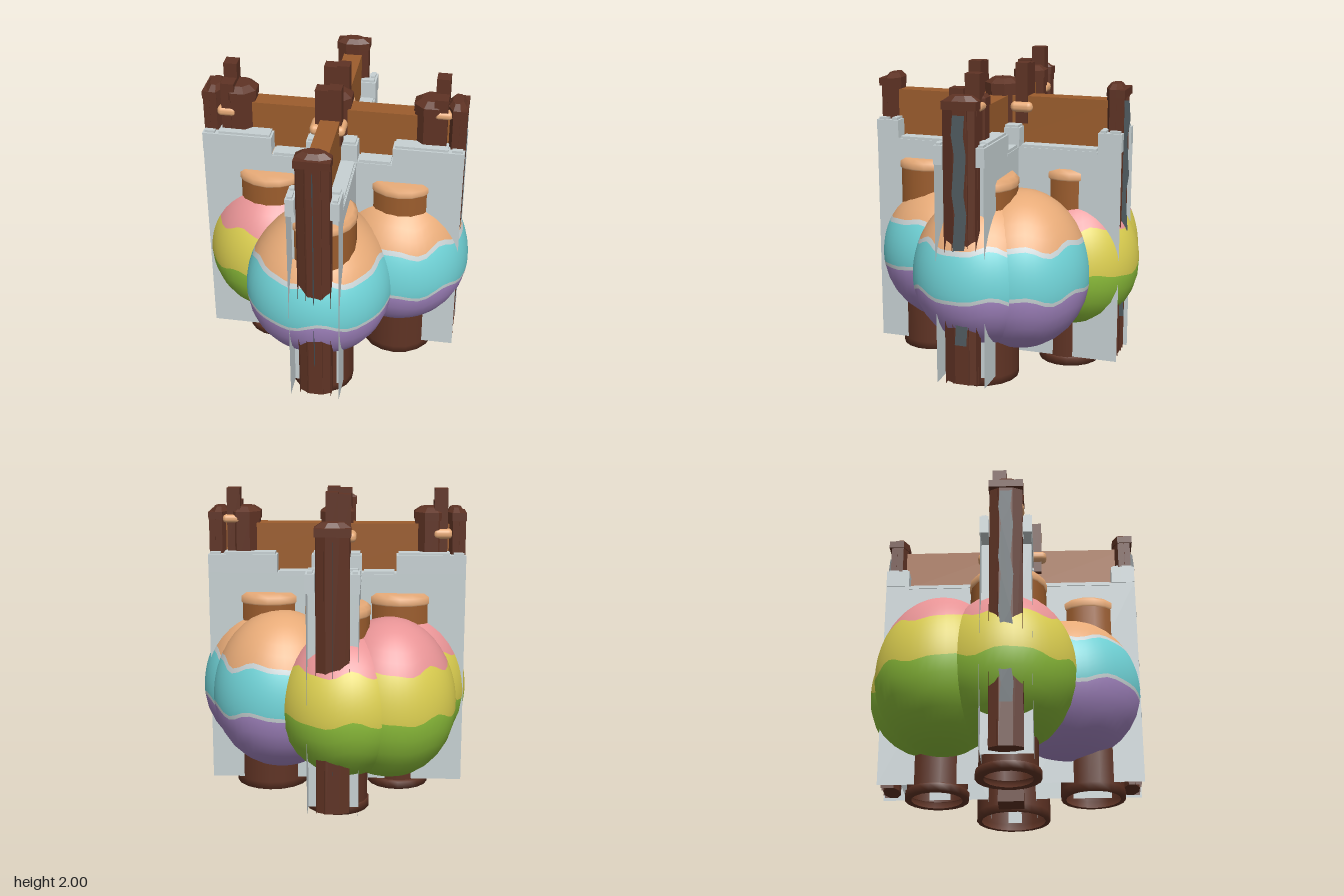
import * as THREE from 'three';
import { RoundedBoxGeometry } from 'three/addons/geometries/RoundedBoxGeometry.js';

const mat = (name, color, side = THREE.FrontSide) => {
  const m = new THREE.MeshStandardMaterial({ color, side });
  m.name = name;
  return m;
};
const grey = mat('wallGrey', 0xc7d1d3, THREE.DoubleSide);
const dark = mat('darkWood', 0x5f3324, THREE.DoubleSide);
const wood = mat('beamWood', 0x9c5d2d);
const tan = mat('tan', 0xe8ab78);
const pink = mat('pink', 0xe89496);
const yellow = mat('yellow', 0xdbce50);
const green = mat('green', 0x8cbe3a);
const cyan = mat('cyan', 0x70d3d7);
const purple = mat('purple', 0xa486c2);
const slate = mat('slate', 0x505b60, THREE.DoubleSide);

// Axis where the four arms meet
const CX = -0.02, CZ = 0.03;

function add(parent, name, geo, material, x = 0, y = 0, z = 0) {
  const m = new THREE.Mesh(geo, material);
  m.name = name;
  m.position.set(x, y, z);
  parent.add(m);
  return m;
}

// Box given by its bounds
function box(parent, name, material, x0, x1, y0, y1, z0, z1) {
  return add(parent, name, new THREE.BoxGeometry(x1 - x0, y1 - y0, z1 - z0), material,
    (x0 + x1) / 2, (y0 + y1) / 2, (z0 + z1) / 2);
}

// Flat-sided octagon prism, rt and rb are the half widths across the flats
function octagon(rt, rb, h) {
  const k = 1 / Math.cos(Math.PI / 8);
  const g = new THREE.CylinderGeometry(rt * k, rb * k, h, 8).toNonIndexed();
  g.rotateY(Math.PI / 8);
  g.computeVertexNormals();
  return g;
}

// Octagonal post with a collar and a tapered cap, squashed along z by sz
function post(parent, name, x, z, y0, r, sz) {
  const g = new THREE.Group();
  g.name = name;
  g.position.set(x, 0, z);
  g.scale.z = sz;
  add(g, 'shaft', octagon(r * 0.94, r * 0.94, 1.8 - y0), dark, 0, (1.8 + y0) / 2);
  add(g, 'collar', octagon(r, r, 0.05), dark, 0, 1.825);
  add(g, 'cap', octagon(r * 0.6, r, 0.03), dark, 0, 1.865);
  parent.add(g);
}

// Coping stone with a small bevelled lip on top
function coping(parent, x0, x1, y0, y1, z0, z1) {
  box(parent, 'coping', grey, x0, x1, y0, y1 - 0.015, z0, z1);
  box(parent, 'copingLip', grey, x0 + 0.012, x1 - 0.012, y1 - 0.015, y1, z0 + 0.012, z1 - 0.012);
}

// Rounded knob wrapped around the pegs
function knob(parent, x, y, z, w, h, d) {
  add(parent, 'knob', new RoundedBoxGeometry(w, h, d, 3, h * 0.45), tan, x, y, z);
}

// Jagged strip, lying in the x-y plane
function jaggedStrip(y0, y1, w) {
  const s = new THREE.Shape(), n = 12, left = [];
  for (let i = 0; i <= n; i++) {
    const y = y0 + (y1 - y0) * i / n, o = 0.01 * Math.sin(i * 2.1);
    left.unshift([o - w / 2, y]);
    if (i) s.lineTo(o + w / 2, y); else s.moveTo(o + w / 2, y);
  }
  left.forEach(p => s.lineTo(p[0], p[1]));
  return new THREE.ShapeGeometry(s);
}

// One arm of the cross, built along local +z
function arm(k) {
  const g = new THREE.Group();
  g.name = 'arm';
  g.position.set(CX, 0, CZ);
  g.rotation.y = k * Math.PI / 2;
  const alongX = k % 2 === 1, L = 0.82, raised = alongX ? 0.38 : 0.67;
  for (const s of [-1, 1]) {
    const side = add(g, 'wallSide', new THREE.PlaneGeometry(L - 0.15, 1.38), grey, s * 0.155, 0.78, (L + 0.15) / 2);
    side.rotation.y = s * Math.PI / 2;
    // Coping runs past the end post on both sides
    const c = s * 0.133;
    coping(g, c - 0.027, c + 0.027, 1.47, 1.6, 0.73, L);
  }
  add(g, 'wallEnd', new THREE.PlaneGeometry(0.31, 1.38), grey, 0, 0.78, 0.67);
  coping(g, -0.16, 0.16, 1.45, 1.48, 0.16, raised);
  coping(g, -0.16, 0.16, 1.47, 1.6, raised, 0.73);
  box(g, 'beam', wood, -0.06, 0.06, 1.47, 1.775, 0, 0.78);

  // End post with open vertical fins
  const postZ = alongX ? 0.755 : 0.745, finEnd = alongX ? 0.817 : 0.805;
  post(g, 'endPost', 0, postZ, 0.09, 0.108, 0.5);
  for (const x of [-0.1, -0.05, 0.05, 0.1]) {
    const fin = add(g, 'fin', new THREE.PlaneGeometry(0.07, 1.71), dark, x, 0.945, finEnd - 0.035);
    fin.rotation.y = Math.PI / 2;
  }
  box(g, 'postHead', dark, -0.108, 0.108, 1.8, 1.85, 0.73, L);
  const strip = add(g, 'darkStrip', jaggedStrip(0.35, 1.77, 0.075), slate, 0, 0, alongX ? 0.82 : 0.79);
  if (!alongX) strip.rotation.y = Math.PI / 2;

  if (alongX) {
    // Second post on the beam with a tall peg, a short peg and a tan knob
    post(g, 'innerPost', 0, 0.6, 1.5, 0.108, 1);
    const s = k === 1 ? 1 : -1, z = 0.66;
    for (const [x, top] of [[s * 0.045, 2.0], [s * -0.055, 1.91]]) {
      box(g, 'peg', dark, x - 0.045, x + 0.045, 1.6, top, z - 0.042, z + 0.042);
    }
    if (k === 1) knob(g, 0, 1.805, 0.675, 0.22, 0.052, 0.11);
    else knob(g, 0, 1.715, 0.672, 0.22, 0.065, 0.125);
  }
  return g;
}

// Egg-shaped lobe split into wavy coloured bands; square > 2 flattens its plan
function lobe(name, x, z, R, bottom, top, bands, square = 2) {
  const g = new THREE.Group();
  g.name = name;
  g.position.set(x, 0, z);
  const mid = 0.69, N = 48, M = 7;
  const phi = (y, t) => {
    if (y === -Infinity) return -Math.PI / 2;
    if (y === Infinity) return Math.PI / 2;
    const d = y + 0.02 * Math.sin(6 * t + x * 9) + 0.01 * Math.sin(10 * t) - mid;
    return Math.asin(d / (d > 0 ? top - mid : mid - bottom));
  };
  let low = -Infinity;
  for (const [m, high] of bands) {
    const pos = [], nor = [], idx = [];
    for (let i = 0; i <= N; i++) {
      const t = i / N * Math.PI * 2, a = phi(low, t), b = phi(high, t);
      const ct = Math.cos(t), st = Math.sin(t);
      const r = R / Math.pow(Math.abs(ct) ** square + Math.abs(st) ** square, 1 / square);
      for (let j = 0; j <= M; j++) {
        const p = a + (b - a) * j / M, h = p > 0 ? top - mid : mid - bottom;
        const c = Math.cos(p), s = Math.sin(p);
        pos.push(r * c * ct, mid + h * s, r * c * st);
        const n = new THREE.Vector3(c * ct / R, s / h, c * st / R).normalize();
        nor.push(n.x, n.y, n.z);
        if (i < N && j < M) {
          const q = i * (M + 1) + j, e = q + M + 1;
          idx.push(q, q + 1, e, e, q + 1, e + 1);
        }
      }
    }
    const geo = new THREE.BufferGeometry();
    geo.setAttribute('position', new THREE.Float32BufferAttribute(pos, 3));
    geo.setAttribute('normal', new THREE.Float32BufferAttribute(nor, 3));
    geo.setIndex(idx);
    add(g, m.name + 'Band', geo, m);
    low = high;
  }
  return g;
}

// Hollow column: foot ring and stem below, neck with a tan rim above the lobes
function column(x, z, stemR, neckR) {
  const g = new THREE.Group();
  g.name = 'column';
  g.position.set(x, 0, z);
  const lathe = a => new THREE.LatheGeometry(a.map(p => new THREE.Vector2(p[0], p[1])), 18);
  const foot = Math.max(0.2, stemR);
  add(g, 'foot', lathe([[stemR - 0.03, 0.03], [foot, 0.03], [foot, 0.078], [stemR, 0.085]]), dark);
  add(g, 'stem', new THREE.CylinderGeometry(stemR, stemR, 0.42, 18, 1, true), dark, 0, 0.29);
  add(g, 'neck', new THREE.CylinderGeometry(neckR - 0.006, neckR - 0.006, 0.35, 18), wood, 0, 1.105);
  add(g, 'rim', lathe([[neckR - 0.006, 1.27], [neckR, 1.28], [neckR, 1.318], [neckR - 0.025, 1.342], [0, 1.342]]), tan);
  return g;
}

export function createModel() {
  const model = new THREE.Group();
  model.name = 'model';

  for (let k = 0; k < 4; k++) model.add(arm(k));

  // Crossing: coping, post and foot
  coping(model, CX - 0.16, CX + 0.16, 1.45, 1.6, CZ - 0.16, CZ + 0.16);
  post(model, 'centrePost', CX, CZ, 1.5, 0.108, 1);
  box(model, 'centreFoot', dark, CX - 0.08, CX + 0.08, 0, 0.09, CZ - 0.08, CZ + 0.08);

  // Pegs and knobs beside the centre post
  for (const [z, y] of [[0.2, 1.71], [-0.115, 1.705]]) {
    box(model, 'peg', dark, -0.11, -0.03, 1.6, 1.975, z - 0.04, z + 0.04);
    box(model, 'peg', dark, -0.03, 0.05, 1.6, 1.985, z - 0.04, z + 0.04);
    knob(model, -0.035, y, z, 0.22, 0.068, 0.145);
  }

  // Columns under and through the lobes
  model.add(
    column(-0.425, 0.03, 0.18, 0.245),
    column(0.415, 0.03, 0.24, 0.238),
    column(-0.02, 0.54, 0.2, 0.22),
    column(-0.04, -0.43, 0.19, 0.205),
  );

  // Lobes in two colour sets
  const cool = [[purple, 0.635], [grey, 0.66], [cyan, 0.93], [grey, 0.96], [tan, Infinity]];
  const warm = [[green, 0.68], [yellow, 0.97], [pink, Infinity]];
  model.add(
    lobe('frontLobe', -0.06, 0.39, 0.468, 0.21, 1.2, cool, 2.25),
    lobe('leftLobe', 0.405, 0.01, 0.455, 0.25, 1.23, cool),
    lobe('backLeftLobe', 0.33, -0.2, 0.44, 0.22, 1.24, cool),
    lobe('rightLobe', -0.425, 0.02, 0.437, 0.22, 1.23, warm),
    lobe('backRightLobe', -0.36, -0.38, 0.42, 0.22, 1.24, warm),
    lobe('backLobe', -0.09, -0.45, 0.415, 0.25, 1.18, warm),
  );
  return model;
}
